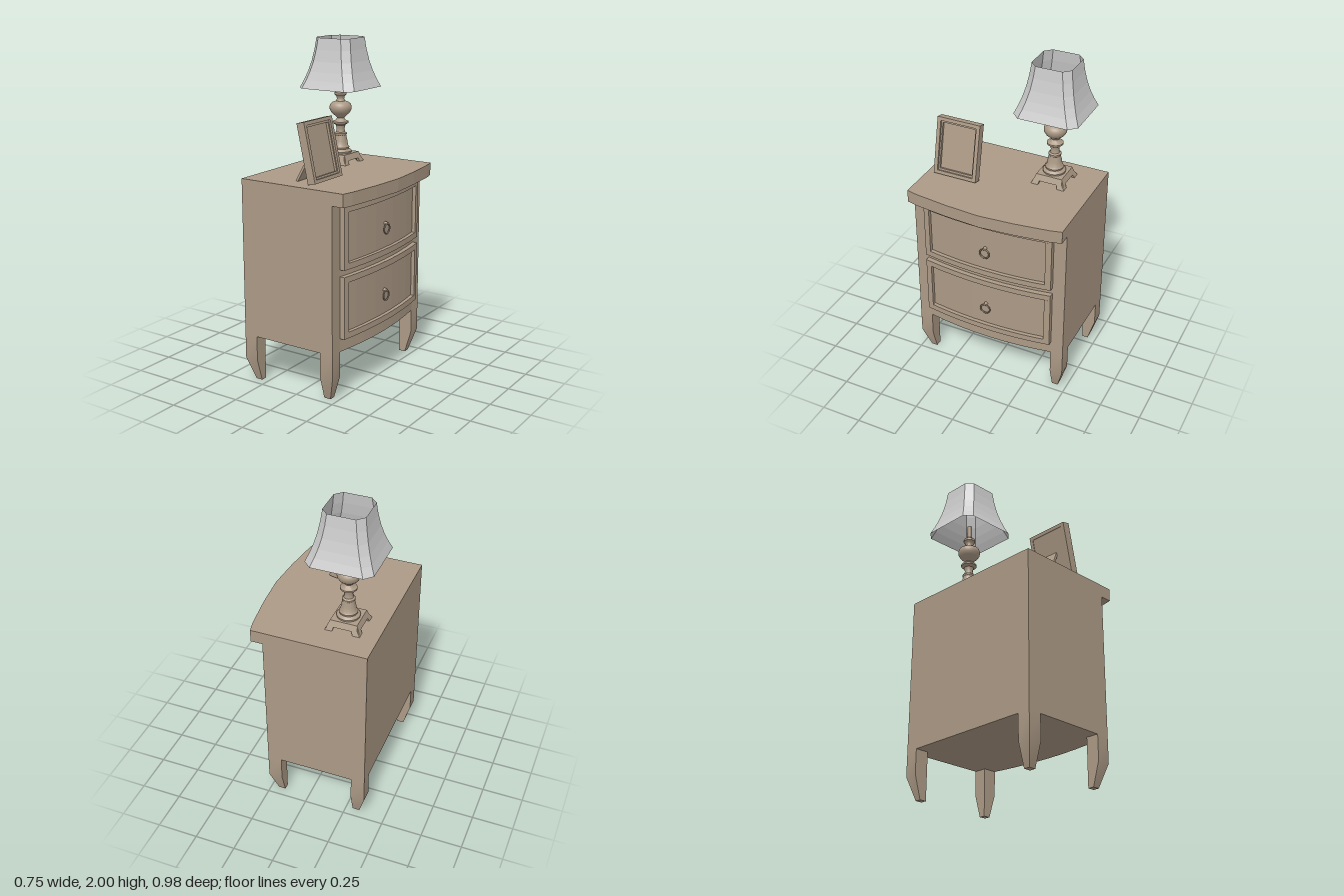
import * as THREE from 'three';
import { toCreasedNormals } from 'three/addons/utils/BufferGeometryUtils.js';

const wood = new THREE.MeshStandardMaterial({ color: 0xac9a86 });
const cloth = new THREE.MeshStandardMaterial({ color: 0xcccccc, side: THREE.DoubleSide, flatShading: true });

function add(parent, name, geometry, material = wood) {
  const mesh = new THREE.Mesh(geometry, material);
  mesh.name = name;
  parent.add(mesh);
  return mesh;
}

function box(parent, name, w, h, d, x, y, z) {
  const mesh = add(parent, name, new THREE.BoxGeometry(w, h, d));
  mesh.position.set(x, y, z);
  return mesh;
}

// Slab from a plan outline of [x, z] points (symmetric in z), between two heights
function slab(parent, name, plan, y0, y1) {
  const shape = new THREE.Shape(plan.map(([x, z]) => new THREE.Vector2(x, z)));
  const g = new THREE.ExtrudeGeometry(shape, { depth: y1 - y0, bevelEnabled: false });
  g.rotateX(-Math.PI / 2).translate(0, y0, 0);
  return add(parent, name, g);
}

// Bowed front line: x = edge at |z| = 0.41, edge + rise in the middle
function bow(edge, rise, halfWidth) {
  const pts = [];
  for (let i = 0; i <= 8; i++) {
    const z = halfWidth * (i / 4 - 1);
    pts.push([edge + rise * (1 - (z / 0.41) ** 2), z]);
  }
  return pts;
}

function makeLeg(parent, sx, sz) {
  const g = new THREE.BoxGeometry(1, 2, 1, 1, 2, 1);
  const p = g.attributes.position;
  for (let i = 0; i < p.count; i++) {
    const level = Math.round(p.getY(i));
    const outX = p.getX(i) * sx > 0, outZ = p.getZ(i) * sz > 0;
    const taper = level < 0 ? 0.042 : 0;
    const x = sx > 0 ? (outX ? 0.245 - taper : 0.16) : (outX ? -0.378 + taper : -0.293);
    const z = sz * (outZ ? 0.4875 - taper : 0.408);
    p.setXYZ(i, x, [0, 0.14, 0.292][level + 1], z);
  }
  add(parent, 'leg', toCreasedNormals(g, 0.3));
}

function makeDrawer(y0, y1) {
  const drawer = new THREE.Group();
  drawer.name = 'drawer';
  const rim = 0.036, w = 0.41, inner = w - rim;
  slab(drawer, 'drawerPanel', [[0.2, -inner], ...bow(0.252, 0.036, inner), [0.2, inner]], y0 + 0.01, y1 - 0.01);
  const bar = [[0.2, -w], ...bow(0.276, 0.035, w), [0.2, w]];
  slab(drawer, 'drawerRimBottom', bar, y0, y0 + rim);
  slab(drawer, 'drawerRimTop', bar, y1 - rim, y1);
  // upright rims follow the end of the bow
  const endX = 0.276 + 0.035 * (1 - (inner / w) ** 2);
  for (const s of [-1, 1]) {
    const plan = [[0.2, s * inner], [endX, s * inner], [0.276, s * w], [0.2, s * w]];
    const side = slab(drawer, 'drawerRimSide', plan, y0 + rim, y1 - rim);
    side.name = s > 0 ? 'drawerRimRight' : 'drawerRimLeft';
  }
  // ring pull
  const y = (y0 + y1) / 2 - 0.032;
  const ring = add(drawer, 'ringPull', new THREE.TorusGeometry(0.03, 0.0045, 8, 24));
  ring.rotation.y = Math.PI / 2;
  ring.position.set(0.303, y, 0);
  const knob = add(drawer, 'pullMount', new THREE.CylinderGeometry(0.008, 0.012, 0.03, 12));
  knob.rotation.z = -Math.PI / 2;
  knob.position.set(0.295, y + 0.032, 0);
  return drawer;
}

function makeCabinet() {
  const cabinet = new THREE.Group();
  cabinet.name = 'cabinet';
  const d = 0.4875;
  slab(cabinet, 'body', [[-0.378, -d], [0.245, -d], ...bow(0.245, 0.038, 0.41), [0.245, d], [-0.378, d]], 0.29, 1.165);
  slab(cabinet, 'tabletop', [[-0.378, -d], [0.317, -d], [0.333, -0.42], [0.36, -0.21], [0.375, 0],
    [0.36, 0.21], [0.333, 0.42], [0.317, d], [-0.378, d]], 1.163, 1.24);
  for (const sx of [-1, 1]) for (const sz of [-1, 1]) makeLeg(cabinet, sx, sz);
  cabinet.add(makeDrawer(0.37, 0.74), makeDrawer(0.78, 1.148));
  return cabinet;
}

// Shade: square cross-sections with cut corners, flaring downwards
function makeShade() {
  const sections = [[1.70, 0.196, 0.046], [1.75, 0.175, 0.044], [1.80, 0.158, 0.043],
    [1.86, 0.142, 0.042], [1.93, 0.129, 0.041], [2.0, 0.12, 0.04]];
  const pos = [], index = [];
  for (const [y, h, c] of sections) {
    const k = h - c;
    for (const [x, z] of [[h, k], [k, h], [-k, h], [-h, k], [-h, -k], [-k, -h], [k, -h], [h, -k]]) pos.push(x, y, z);
  }
  for (let r = 0; r < sections.length - 1; r++) {
    for (let i = 0; i < 8; i++) {
      const a = r * 8 + i, b = r * 8 + (i + 1) % 8;
      index.push(a, a + 8, b, b, a + 8, b + 8);
    }
  }
  const g = new THREE.BufferGeometry();
  g.setAttribute('position', new THREE.Float32BufferAttribute(pos, 3));
  g.setIndex(index);
  g.computeVertexNormals();
  return g;
}

function makeLamp() {
  const lamp = new THREE.Group();
  lamp.name = 'lamp';
  // square foot: a plate over four flared bracket sides
  box(lamp, 'footPlate', 0.16, 0.02, 0.16, 0, 1.288, 0);
  const outline = [[-0.08, 1.298], [-0.086, 1.268], [-0.104, 1.24], [-0.06, 1.24], [-0.054, 1.262],
    [0.054, 1.262], [0.06, 1.24], [0.104, 1.24], [0.086, 1.268], [0.08, 1.298]];
  for (let i = 0; i < 4; i++) {
    const shape = new THREE.Shape(outline.map(([x, y]) => new THREE.Vector2(x, y)));
    let g = new THREE.ExtrudeGeometry(shape, { depth: 0.02, bevelEnabled: false });
    const p = g.attributes.position;
    for (let j = 0; j < p.count; j++) p.setZ(j, p.getZ(j) + 0.06 + (1.298 - p.getY(j)) * 0.41);
    g = toCreasedNormals(g, 0.4);
    add(lamp, 'footBracket', g).rotation.y = i * Math.PI / 2;
  }
  // turned stem
  const profile = [[0, 1.295], [0.066, 1.295], [0.068, 1.308], [0.06, 1.318], [0.052, 1.322], [0.054, 1.332],
    [0.046, 1.342], [0.042, 1.37], [0.034, 1.405], [0.038, 1.41], [0.038, 1.418], [0.028, 1.425],
    [0.024, 1.445], [0.03, 1.468], [0.048, 1.48], [0.048, 1.49], [0.03, 1.498], [0.022, 1.512],
    [0.034, 1.525], [0.055, 1.543], [0.066, 1.562], [0.068, 1.58], [0.062, 1.597], [0.048, 1.608],
    [0.028, 1.615], [0.022, 1.63], [0.026, 1.645], [0.036, 1.655], [0.036, 1.668], [0.026, 1.678],
    [0.015, 1.682], [0.015, 1.765], [0, 1.765]];
  const stem = new THREE.LatheGeometry(profile.map(([r, y]) => new THREE.Vector2(r, y)), 32);
  add(lamp, 'stem', toCreasedNormals(stem, 0.7));
  add(lamp, 'shade', makeShade(), cloth);
  lamp.position.set(-0.17, 0, -0.225);
  return lamp;
}

function makePhotoFrame() {
  const group = new THREE.Group();
  group.name = 'photoFrame';
  // frame built upright facing +x, then leaned back
  const lean = new THREE.Group();
  lean.name = 'leaningFrame';
  const rect = (T, w, h) => new T([[-w, -h], [w, -h], [w, h], [-w, h]].map(([x, y]) => new THREE.Vector2(x, y)));
  const border = (name, w, h, iw, ih, depth, x) => {
    const shape = rect(THREE.Shape, w, h);
    shape.holes.push(rect(THREE.Path, iw, ih));
    const g = new THREE.ExtrudeGeometry(shape, { depth, bevelEnabled: false });
    add(lean, name, g.rotateY(Math.PI / 2).translate(x, 0, 0));
  };
  border('frameBorder', 0.1375, 0.174, 0.115, 0.153, 0.05, -0.025);
  border('frameInnerLip', 0.117, 0.155, 0.106, 0.141, 0.035, -0.022);
  box(lean, 'picturePanel', 0.02, 0.3, 0.22, -0.012, 0, 0);
  lean.position.set(0.037, 1.42, 0);
  lean.rotation.z = 0.213;
  group.add(lean);
  // back strut, wider at its foot
  const strut = new THREE.Shape([[-0.076, 0], [0.076, 0], [0.047, 0.205], [-0.047, 0.205]].map(([x, y]) => new THREE.Vector2(x, y)));
  const g = new THREE.ExtrudeGeometry(strut, { depth: 0.014, bevelEnabled: false });
  const mesh = add(group, 'backStrut', g.rotateY(Math.PI / 2));
  mesh.position.set(-0.078, 1.245, 0);
  mesh.rotation.z = -0.46;
  group.position.z = 0.297;
  return group;
}

export function createModel() {
  const model = new THREE.Group();
  model.name = 'nightstand';
  model.add(makeCabinet(), makeLamp(), makePhotoFrame());
  return model;
}
